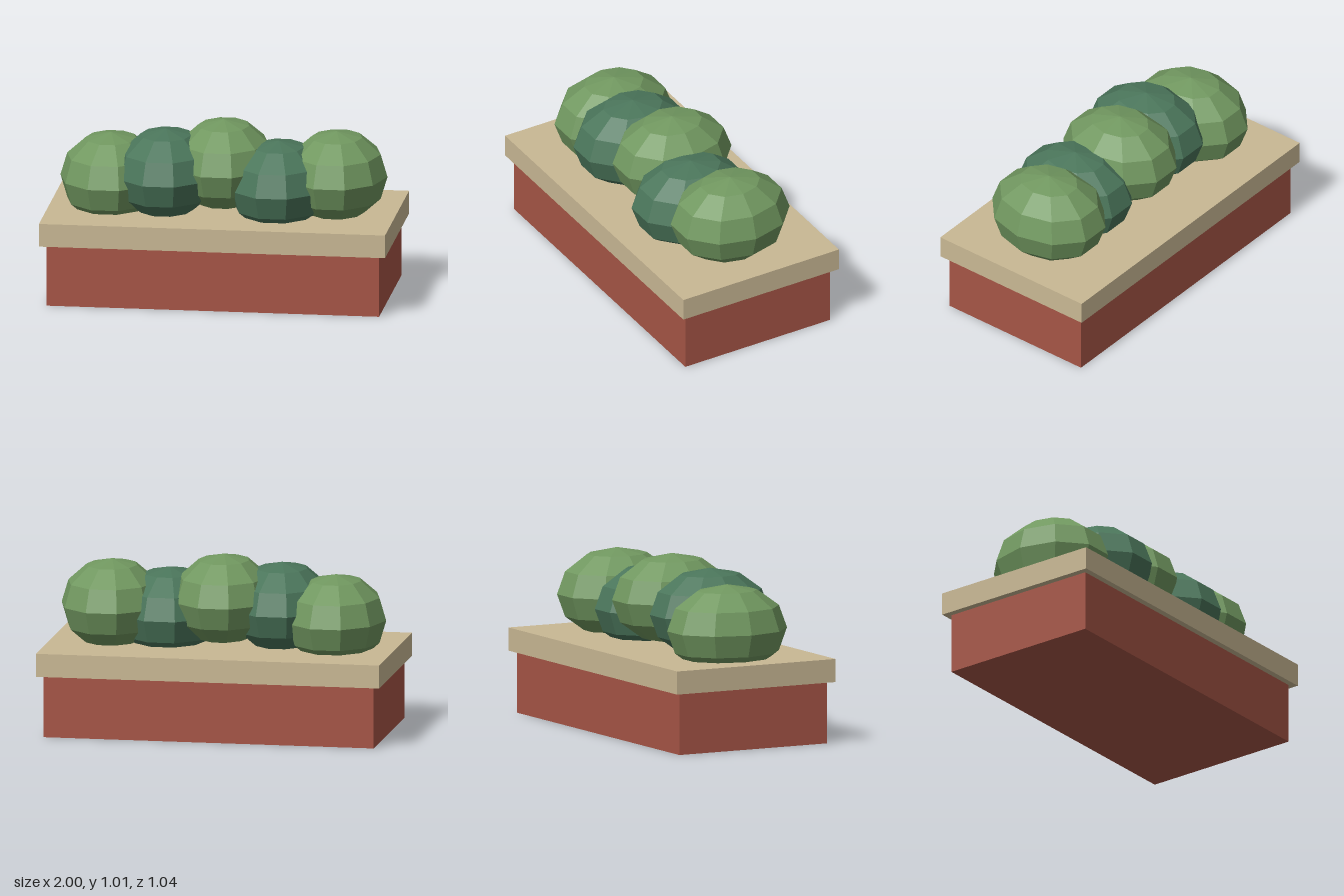
import * as THREE from 'three';

const material = (name, color, flatShading = false) => {
  const m = new THREE.MeshStandardMaterial({ color, flatShading });
  m.name = name;
  return m;
};

export function createModel() {
  const brick = material('brick red', 0xa65546);
  const stone = material('sandstone', 0xc9b894);
  const leaf = material('light leaf green', 0x719860, true);
  const darkLeaf = material('dark leaf green', 0x4b765b, true);

  const model = new THREE.Group();
  model.name = 'planter';

  const addBox = (name, w, d, y0, y1, mat) => {
    const mesh = new THREE.Mesh(new THREE.BoxGeometry(w, y1 - y0, d), mat);
    mesh.name = name;
    mesh.position.y = (y0 + y1) / 2;
    model.add(mesh);
  };

  // Brick base with an overhanging stone cap
  addBox('base', 1.922, 0.964, 0, 0.357, brick);
  addBox('cap', 2, 1.036, 0.357, 0.491, stone);

  // Row of faceted shrubs, alternating colour, the dark ones set forward
  const shrubShape = new THREE.SphereGeometry(1, 10, 6);
  const heights = [0.655, 0.704, 0.753, 0.655, 0.704];
  heights.forEach((y, i) => {
    const dark = i % 2 === 1;
    const shrub = new THREE.Mesh(shrubShape, dark ? darkLeaf : leaf);
    shrub.name = `shrub${i + 1}`;
    shrub.scale.set(0.293, 0.261, 0.36);
    shrub.position.set((i - 2) * 0.326, y, dark ? 0.067 : 0);
    model.add(shrub);
  });

  return model;
}
